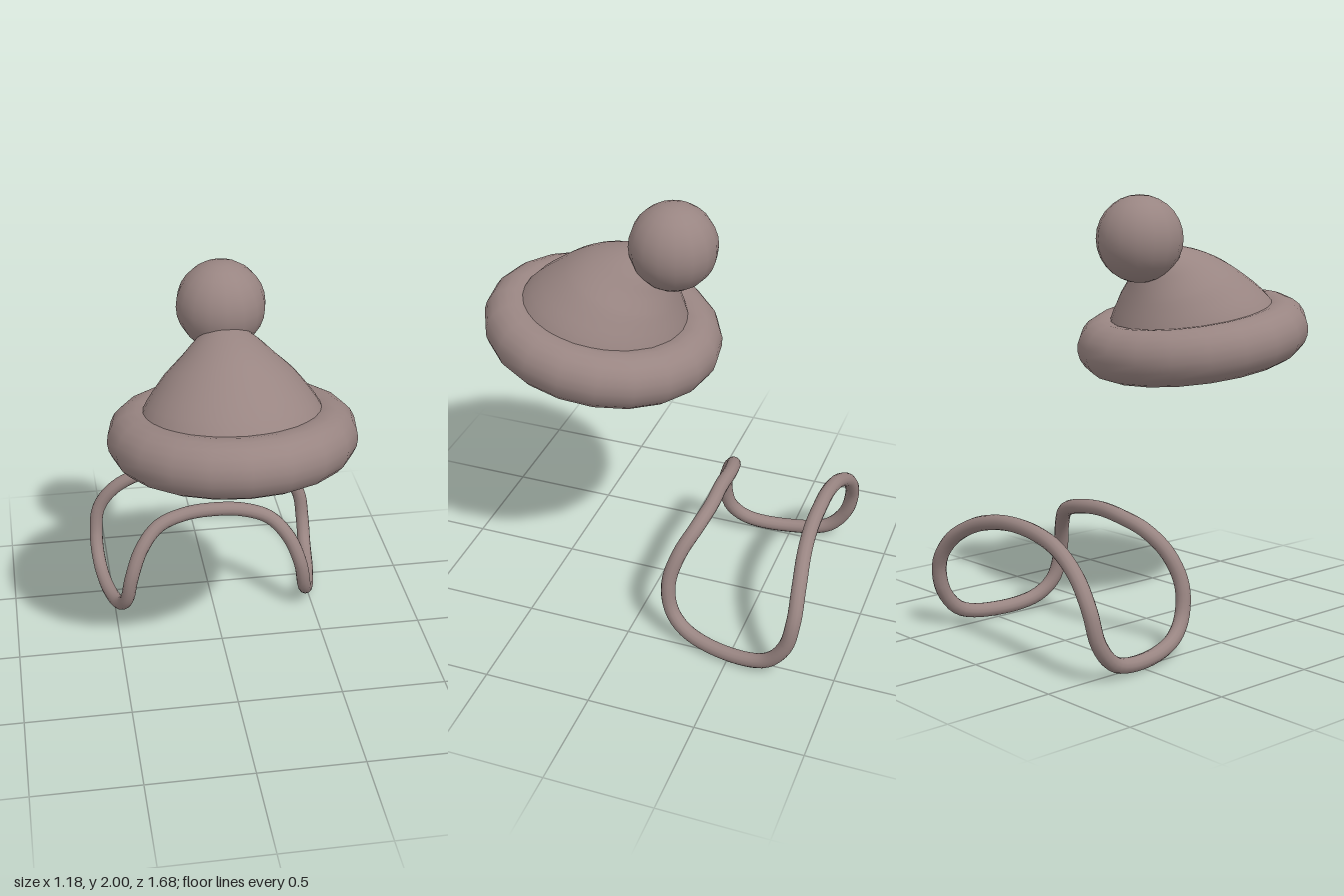
import * as THREE from 'three';

const material = new THREE.MeshStandardMaterial({ color: 0x998582, side: THREE.DoubleSide });

function part(name, geometry) {
  const mesh = new THREE.Mesh(geometry, material);
  mesh.name = name;
  return mesh;
}

// Bent cone: elliptical rings [front z, front y, back z, back y, half width]
function crownGeometry() {
  const rings = [
    [0.71, 1.42, -0.11, 1.28, 0.41],
    [0.65, 1.526, -0.09, 1.385, 0.39],
    [0.457, 1.67, -0.06, 1.5, 0.285],
    [0.33, 1.73, -0.042, 1.57, 0.2],
    [0.165, 1.765, -0.03, 1.62, 0.125],
    [0.0, 1.77, -0.02, 1.72, 0.02],
  ];
  const curve = (f) => new THREE.CatmullRomCurve3(rings.map(f));
  const front = curve((r) => new THREE.Vector3(0, r[1], r[0]));
  const back = curve((r) => new THREE.Vector3(0, r[3], r[2]));
  const width = curve((r, i) => new THREE.Vector3(r[4], i, 0));
  const rows = 20, sides = 32, positions = [], index = [];
  for (let i = 0; i <= rows; i++) {
    const t = i / rows;
    const f = front.getPoint(t), b = back.getPoint(t), w = width.getPoint(t).x;
    for (let j = 0; j < sides; j++) {
      const a = (j / sides) * Math.PI * 2;
      const p = b.clone().lerp(f, (1 + Math.cos(a)) / 2);
      positions.push(w * Math.sin(a), p.y, p.z);
      if (i === rows) continue;
      const k = i * sides + j, n = i * sides + ((j + 1) % sides);
      index.push(k, n, n + sides, k, n + sides, k + sides);
    }
  }
  const geometry = new THREE.BufferGeometry();
  geometry.setAttribute('position', new THREE.Float32BufferAttribute(positions, 3));
  geometry.setIndex(index);
  geometry.computeVertexNormals();
  return geometry;
}

// Closed wire loop: the +x half, mirrored for the other side
function loopGeometry() {
  const half = [
    [0, 0.583, -0.286], [0.15, 0.568, -0.285], [0.28, 0.525, -0.26],
    [0.37, 0.43, -0.21], [0.425, 0.29, -0.175], [0.45, 0.15, -0.2],
    [0.48, 0.07, -0.287], [0.525, 0.037, -0.488], [0.55, 0.07, -0.684],
    [0.555, 0.175, -0.775], [0.535, 0.32, -0.806], [0.45, 0.44, -0.8],
    [0.3, 0.53, -0.78], [0.15, 0.57, -0.77], [0, 0.583, -0.77],
  ];
  const mirrored = half.slice(1, -1).reverse().map(([x, y, z]) => [-x, y, z]);
  const points = [...half, ...mirrored].map((p) => new THREE.Vector3(...p));
  return new THREE.TubeGeometry(new THREE.CatmullRomCurve3(points, true), 140, 0.034, 12, true);
}

export function createModel() {
  const model = new THREE.Group();

  // Hat: rolled brim, leaning crown and pompom
  const hat = new THREE.Group();
  hat.name = 'hat';
  const brim = part('brim', new THREE.TorusGeometry(0.42, 0.13, 20, 20).rotateX(Math.PI / 2));
  brim.position.set(0, 1.333, 0.295);
  brim.rotation.x = -0.163;
  const pompom = part('pompom', new THREE.SphereGeometry(0.2, 16, 14));
  pompom.position.set(0, 1.8, -0.042);
  hat.add(brim, part('crown', crownGeometry()), pompom);

  // Saddle-shaped wire loop
  model.add(hat, part('wireLoop', loopGeometry()));
  return model;
}
